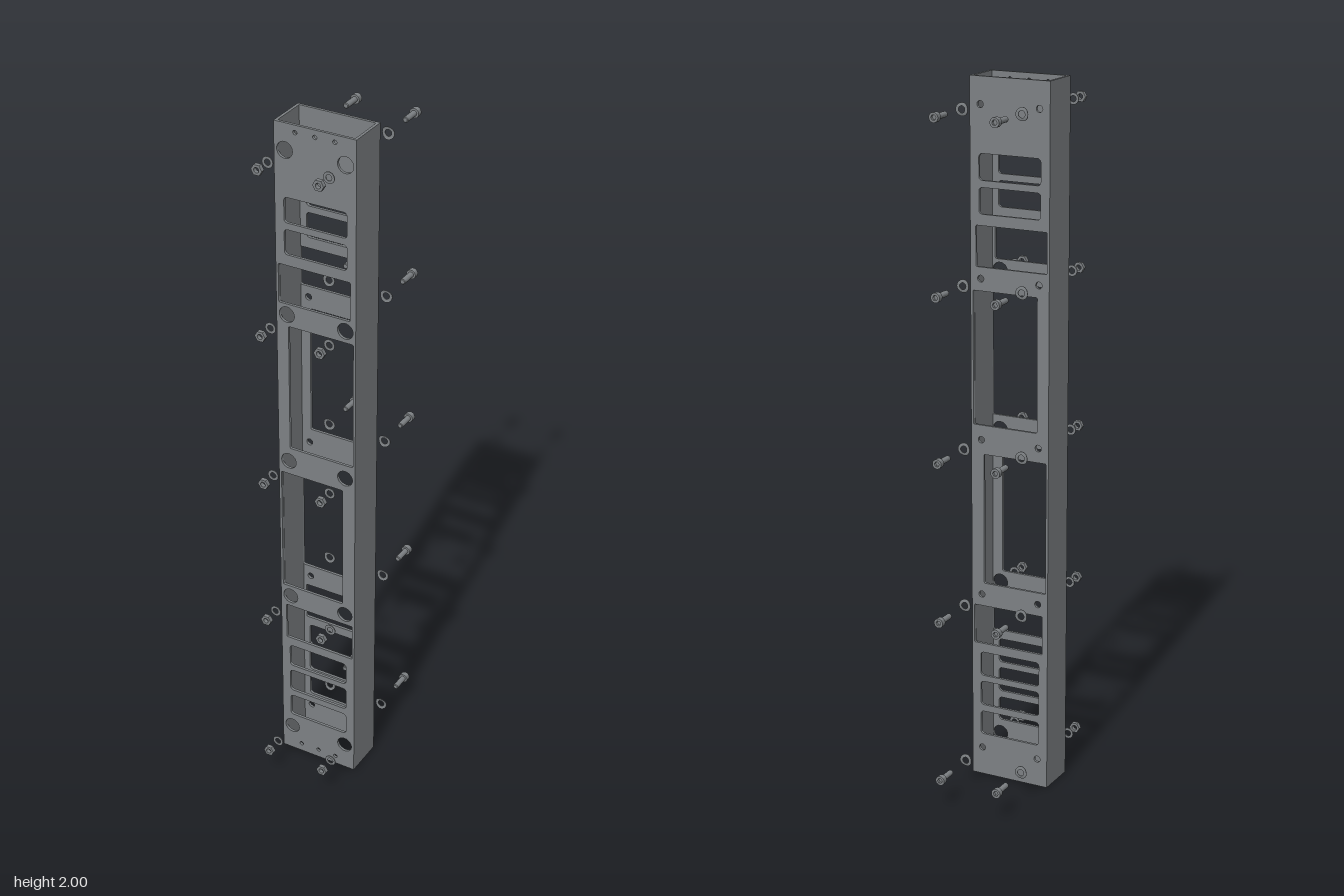
import * as THREE from 'three';
import { toCreasedNormals } from 'three/addons/utils/BufferGeometryUtils.js';

const W = 0.1185, WALL = 0.008, BACK = -0.003, FRONT = 0.116;
const BOLT_X = 0.0875;
const BOLT_Y = [0.082, 0.551, 1.004, 1.457, 1.926];

// x min, x max, y min, y max, corner radius
const WINDOWS = [
  [-0.092, 0.092, 1.724, 1.796, 0.01],
  [-0.092, 0.092, 1.633, 1.705, 0.01],
  [-0.1115, 0.102, 1.489, 1.602, 0.004],
  [-0.083, 0.1115, 1.046, 1.423, 0.004],
  [-0.1115, 0.08, 0.585, 0.963, 0.004],
  [-0.102, 0.1115, 0.403, 0.517, 0.004],
  [-0.092, 0.092, 0.305, 0.376, 0.01],
  [-0.092, 0.092, 0.215, 0.287, 0.01],
  [-0.092, 0.092, 0.125, 0.195, 0.01],
];

function roundedHole([x0, x1, y0, y1, r]) {
  const p = new THREE.Path();
  p.absarc(x1 - r, y1 - r, r, 0, Math.PI / 2);
  p.absarc(x0 + r, y1 - r, r, Math.PI / 2, Math.PI);
  p.absarc(x0 + r, y0 + r, r, Math.PI, Math.PI * 1.5);
  p.absarc(x1 - r, y0 + r, r, Math.PI * 1.5, Math.PI * 2);
  p.closePath();
  return p;
}

const circle = (x, y, r, Type = THREE.Path) => new Type().absarc(x, y, r, 0, Math.PI * 2);

function hexagon(r, Type) {
  const pts = [];
  for (let i = 0; i < 6; i++) {
    pts.push(new THREE.Vector2(r * Math.cos(i * Math.PI / 3), r * Math.sin(i * Math.PI / 3)));
  }
  return new Type(pts);
}

function extrude(shape, z, depth, segments = 12) {
  const g = new THREE.ExtrudeGeometry(shape, { depth, bevelEnabled: false, curveSegments: segments });
  g.translate(0, 0, z);
  return toCreasedNormals(g, 0.6);
}

// Turned part along z; the profile lists [radius, z]
function turned(profile) {
  const g = new THREE.LatheGeometry(profile.map(([r, z]) => new THREE.Vector2(r, z)), 28);
  g.rotateX(Math.PI / 2);
  return g;
}

const ringProfile = (inner, outer, z0, z1) => [[inner, z0], [outer, z0], [outer, z1], [inner, z1], [inner, z0]];

// Wide wall of the channel with windows and bolt holes
function plateGeometry(z, boltRadius, pinHoles) {
  const s = new THREE.Shape([
    new THREE.Vector2(-W, 0), new THREE.Vector2(W, 0), new THREE.Vector2(W, 2), new THREE.Vector2(-W, 2),
  ]);
  WINDOWS.forEach((w) => s.holes.push(roundedHole(w)));
  for (const y of BOLT_Y) for (const x of [-BOLT_X, BOLT_X]) s.holes.push(circle(x, y, boltRadius));
  if (pinHoles) {
    for (const y of [0.026, 1.98]) for (const x of [-0.057, 0, 0.057]) s.holes.push(circle(x, y, 0.006));
  }
  return extrude(s, z, WALL);
}

export function createModel() {
  const model = new THREE.Group();
  model.name = 'explodedChannel';
  const steel = new THREE.MeshStandardMaterial({ color: 0x7d8184 });
  steel.name = 'steelGrey';

  const add = (parent, name, geometry) => {
    const m = new THREE.Mesh(geometry, steel);
    m.name = name;
    parent.add(m);
    return m;
  };

  // Rectangular channel, open at both ends
  const channel = new THREE.Group();
  channel.name = 'channel';
  model.add(channel);
  add(channel, 'frontWall', plateGeometry(FRONT - WALL, 0.023, true));
  add(channel, 'backWall', plateGeometry(BACK, 0.0095, false));
  const sideDepth = FRONT - BACK - 2 * WALL;
  for (const side of [-1, 1]) {
    const wall = add(channel, side > 0 ? 'leftWall' : 'rightWall', new THREE.BoxGeometry(WALL, 2, sideDepth));
    wall.position.set(side * (W - WALL / 2), 1, (FRONT + BACK) / 2);
  }

  // Socket head screw: rim with hexagonal recess, then body and shank
  const rim = circle(0, 0, 0.0135, THREE.Shape);
  rim.holes.push(hexagon(0.0075, THREE.Path));
  const rimGeometry = extrude(rim, -0.253, 0.008, 14);
  const shankGeometry = toCreasedNormals(turned([
    [0, -0.245], [0.0135, -0.245], [0.0135, -0.238], [0.008, -0.238], [0.008, -0.192], [0.006, -0.19], [0, -0.19],
  ]), 0.6);

  // Spring washer, bowed towards the screw
  const spring = turned(ringProfile(0.0095, 0.018, -0.104, -0.102));
  const p = spring.attributes.position;
  for (let i = 0; i < p.count; i++) p.setZ(i, p.getZ(i) + 0.004 * (p.getY(i) / 0.018) ** 2);
  const springGeometry = toCreasedNormals(spring, 0.6);

  // Flat washer and hexagonal nut
  const washerGeometry = toCreasedNormals(turned(ringProfile(0.0085, 0.016, 0.1955, 0.198)), 0.6);
  const hex = hexagon(0.016, THREE.Shape);
  hex.holes.push(circle(0, 0, 0.0075));
  const nutGeometry = extrude(hex, 0.238, 0.012);

  // Fastener sets in two columns
  for (const y of BOLT_Y) {
    for (const x of [-BOLT_X, BOLT_X]) {
      const set = new THREE.Group();
      set.name = 'fastenerSet';
      set.position.set(x, y, 0);
      add(set, 'screwHeadRim', rimGeometry);
      add(set, 'screwShank', shankGeometry);
      add(set, 'springWasher', springGeometry);
      add(set, 'flatWasher', washerGeometry);
      add(set, 'nut', nutGeometry);
      model.add(set);
    }
  }
  return model;
}
